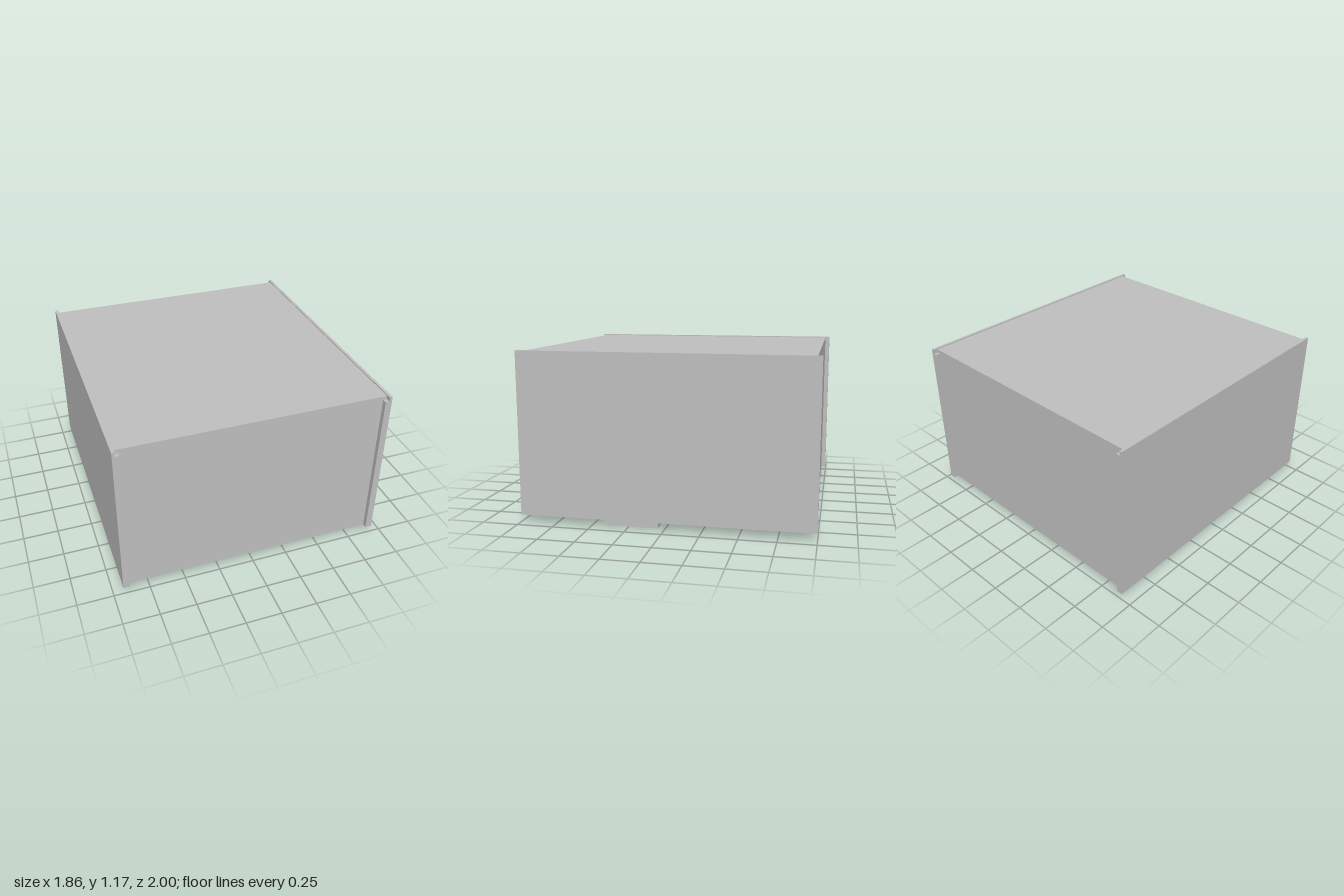
import * as THREE from 'three';

export function createModel() {
  const model = new THREE.Group();
  model.name = 'cabinet';
  const grey = new THREE.MeshStandardMaterial({ color: 0xbfbfbf });
  grey.name = 'light grey';

  const add = (name, geometry) => {
    const mesh = new THREE.Mesh(geometry, grey);
    mesh.name = name;
    model.add(mesh);
    return mesh;
  };
  // Box given by its limits on each axis
  const box = (name, x0, x1, y0, y1, z0, z1) => {
    const mesh = add(name, new THREE.BoxGeometry(x1 - x0, y1 - y0, z1 - z0));
    mesh.position.set((x0 + x1) / 2, (y0 + y1) / 2, (z0 + z1) / 2);
    return mesh;
  };
  const rect = (path, x0, x1, y0, y1) =>
    path.moveTo(x0, y0).lineTo(x1, y0).lineTo(x1, y1).lineTo(x0, y1).closePath();

  const outer = 0.932, inner = 0.886, lip = 0.912;
  const bottom = 0.05, ledge = 1.14, top = 1.172, cover = 1.165;

  // Side panels, with a rabbet along the top that holds the top panel
  for (const s of [1, -1]) {
    const profile = new THREE.Shape([
      [outer, bottom], [outer, top], [lip, top], [lip, ledge], [inner, ledge], [inner, bottom],
    ].map(([x, y]) => new THREE.Vector2(s * x, y)));
    const side = new THREE.ExtrudeGeometry(profile, { depth: 2, bevelEnabled: false });
    add(s > 0 ? 'leftSidePanel' : 'rightSidePanel', side.translate(0, 0, -1));
  }

  // Top, front and back panels, set in from the ends of the sides
  box('topPanel', -lip, lip, ledge, cover, -0.967, 0.967);
  box('frontPanel', -inner, inner, bottom, ledge, 0.922, 0.967);
  box('backPanel', -inner, inner, bottom, ledge, -0.967, -0.922);

  // Inner divider: a frame on its back face around a recessed board
  const frame = new THREE.Shape();
  rect(frame, -inner, inner, bottom, ledge);
  const hole = new THREE.Path();
  rect(hole, -0.79, 0.79, 0.18, 1.01);
  frame.holes.push(hole);
  add('dividerFrame', new THREE.ExtrudeGeometry(frame, { depth: 0.035, bevelEnabled: false })
    .translate(0, 0, -0.015));
  box('dividerBoard', -inner, inner, bottom, ledge, 0.02, 0.05);

  // Cross board that the cabinet stands on
  box('crossBoard', -0.884, 0.884, 0, 0.09, 0.05, 0.425);

  return model;
}
